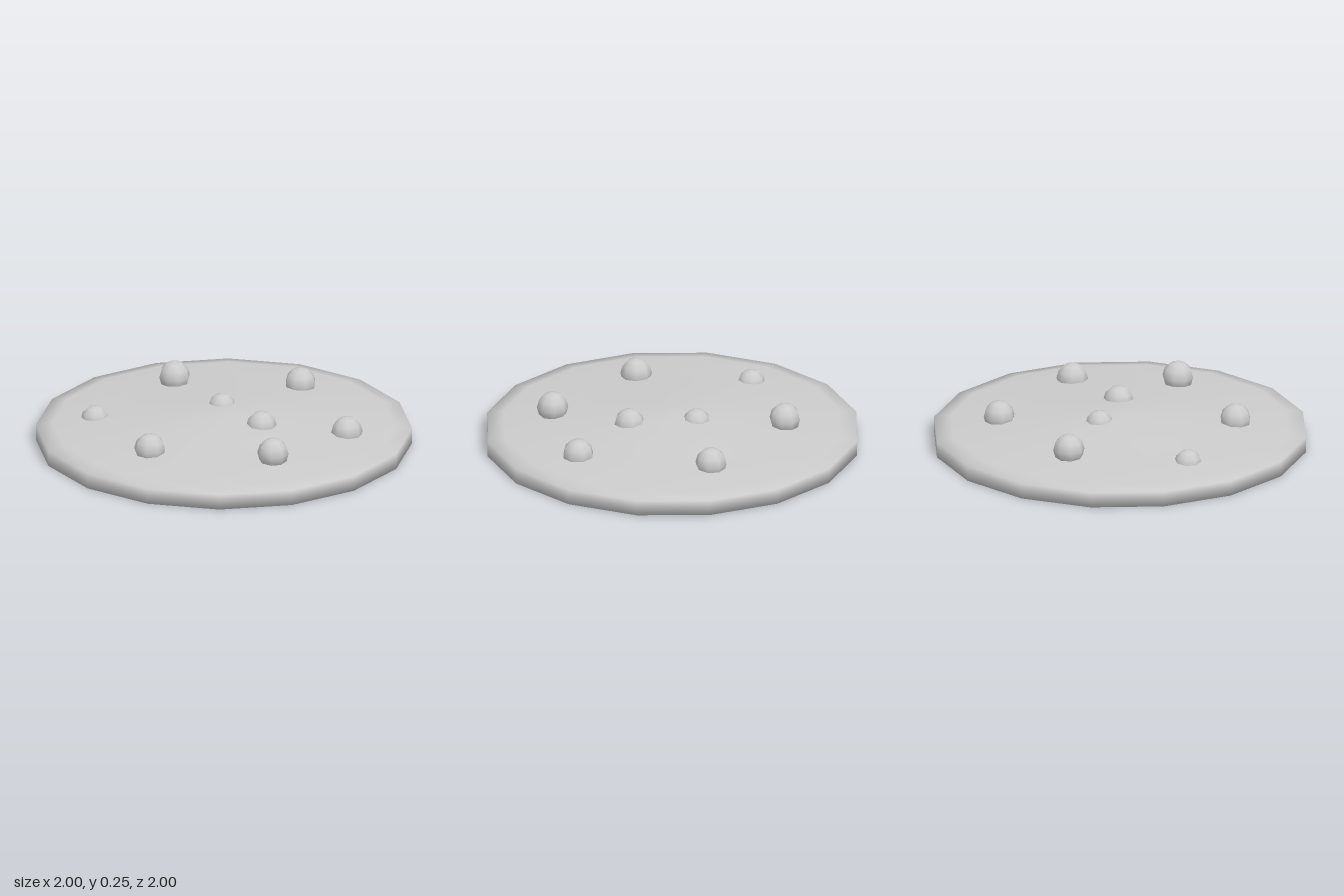
import * as THREE from 'three';

export function createModel() {
  const group = new THREE.Group();
  const material = new THREE.MeshStandardMaterial({ color: 0xcccccc });

  // Sixteen-sided disc: flat base, short wall, soft shoulder and a shallow domed top
  const profile = [
    [0, 0], [1, 0], [1, 0.083], [0.91, 0.1], [0.7, 0.115],
    [0.4, 0.141], [0.13, 0.164], [0, 0.168],
  ].map(([r, y]) => new THREE.Vector2(r, y));
  const disc = new THREE.Mesh(new THREE.LatheGeometry(profile, 16), material);
  disc.name = 'disc';
  group.add(disc);

  // Round lumps sunk into the top: x, z, radius, height of the crown
  const lumps = new THREE.Group();
  lumps.name = 'lumps';
  const lumpData = [
    [0.17, -0.62, 0.084, 0.225],
    [-0.46, -0.39, 0.084, 0.245],
    [-0.07, -0.13, 0.075, 0.215],
    [0.67, -0.1, 0.084, 0.21],
    [0.24, 0.05, 0.082, 0.226],
    [-0.655, 0.215, 0.075, 0.175],
    [0.475, 0.43, 0.084, 0.245],
    [-0.17, 0.59, 0.084, 0.225],
  ];
  const ball = new THREE.SphereGeometry(1, 8, 6);
  lumpData.forEach(([x, z, radius, crown], i) => {
    const lump = new THREE.Mesh(ball, material);
    lump.name = `lump${i + 1}`;
    lump.scale.setScalar(radius);
    lump.position.set(x, crown - radius, z);
    lump.rotation.y = i * 0.7;
    lumps.add(lump);
  });
  group.add(lumps);

  return group;
}
